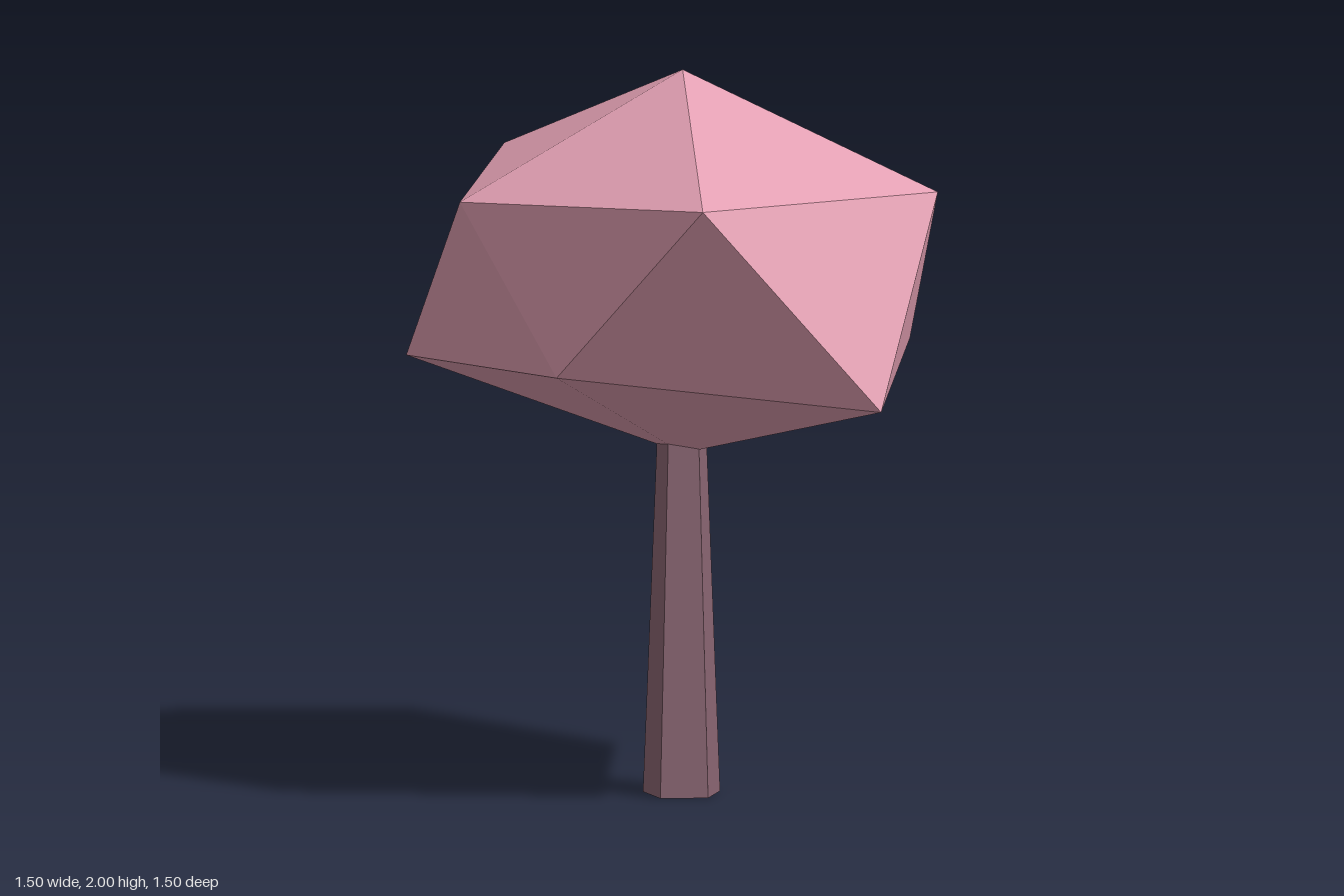
import * as THREE from 'three';

// Faceted crown: two rings of five corners, staggered, between a top and a bottom point
const TOP = [0.03, 2.0, -0.07];
const BOTTOM = [0.03, 0.94, -0.07];
const UPPER = [[0.75, 1.69, -0.07], [0.25, 1.69, -0.75], [-0.59, 1.705, -0.52], [-0.5, 1.67, 0.31], [0.3, 1.74, 0.75]];
const LOWER = [[0.57, 1.22, -0.46], [-0.17, 1.23, -0.66], [-0.75, 1.18, -0.07], [-0.17, 1.23, 0.53], [0.72, 1.155, 0.43]];

function crownGeometry() {
  const points = [];
  for (let i = 0; i < 5; i++) {
    const j = (i + 1) % 5;
    points.push(
      TOP, UPPER[i], UPPER[j],
      UPPER[i], LOWER[i], UPPER[j],
      UPPER[j], LOWER[i], LOWER[j],
      BOTTOM, LOWER[j], LOWER[i],
    );
  }
  const geometry = new THREE.BufferGeometry();
  geometry.setAttribute('position', new THREE.Float32BufferAttribute(points.flat(), 3));
  geometry.computeVertexNormals();
  return geometry;
}

export function createModel() {
  const blossom = new THREE.MeshStandardMaterial({ name: 'blossom pink', color: 0xe3a0b3, flatShading: true });
  const bark = new THREE.MeshStandardMaterial({ name: 'bark mauve', color: 0x8b6673, flatShading: true });

  const tree = new THREE.Group();
  tree.name = 'tree';

  const crown = new THREE.Mesh(crownGeometry(), blossom);
  crown.name = 'crown';

  // Five-sided tapered trunk, its tip hidden inside the crown
  const trunk = new THREE.Mesh(new THREE.CylinderGeometry(0.068, 0.111, 1.06, 5, 1, false, -Math.PI / 2), bark);
  trunk.name = 'trunk';
  trunk.position.set(0.03, 0.53, -0.066);

  tree.add(crown, trunk);
  return tree;
}
